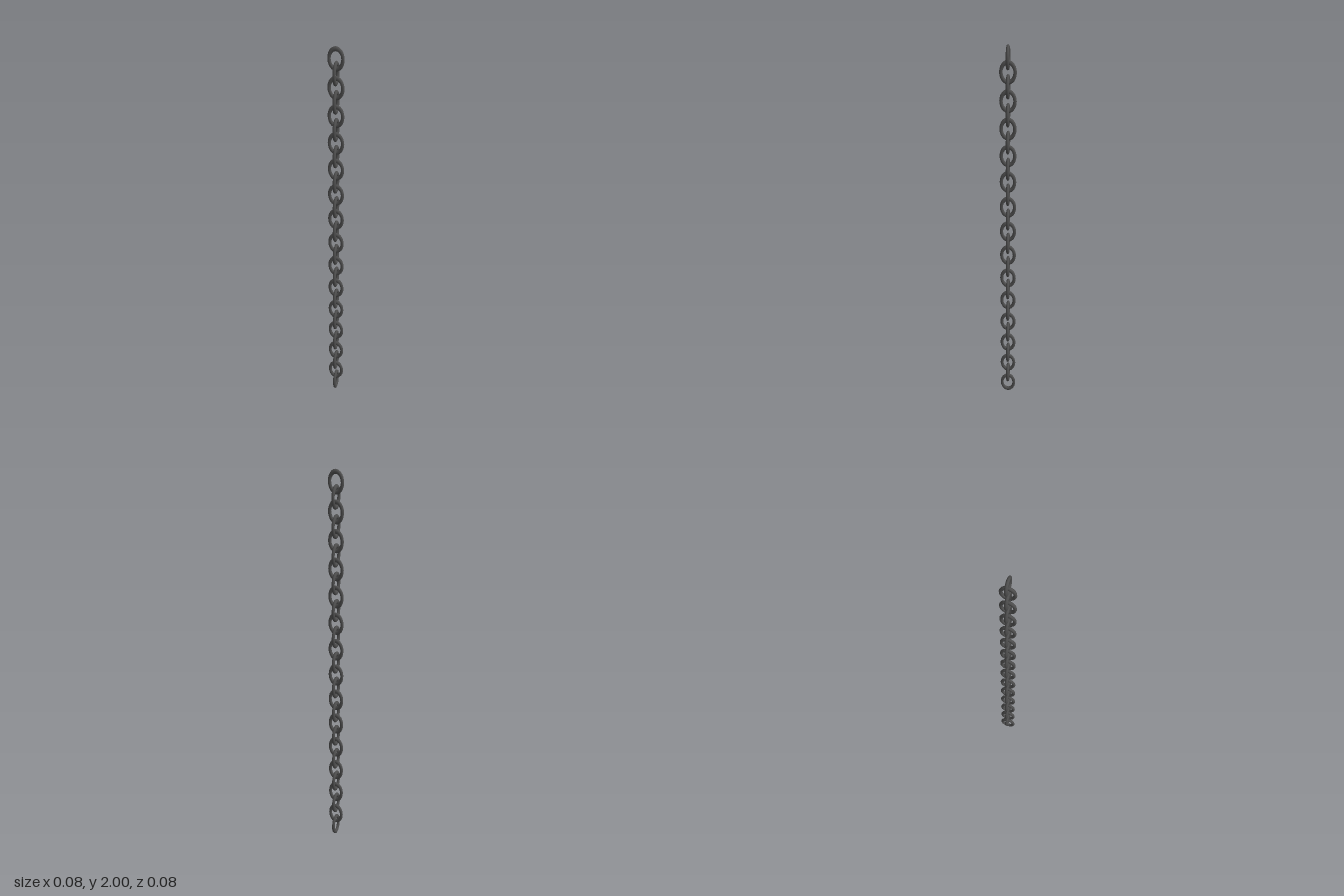
import * as THREE from 'three';

const LINKS = 28;
const HALF_W = 0.0395, HALF_H = 0.059; // outer half size of a link
const WIRE = 0.0078;                   // wire radius
const STEP = (2 - 2 * HALF_H) / (LINKS - 1);

export function createModel() {
  const chain = new THREE.Group();
  chain.name = 'chain';
  const iron = new THREE.MeshStandardMaterial({ color: 0x4e4e4e });
  iron.name = 'darkIron';

  // One oval link: a round wire ring stretched upwards
  const link = new THREE.TorusGeometry(HALF_W - WIRE, WIRE, 8, 24);
  link.scale(1, HALF_H / HALF_W, 1);

  // Links alternate by a quarter turn, the top one facing the front
  for (let i = 0; i < LINKS; i++) {
    const mesh = new THREE.Mesh(link, iron);
    mesh.name = `link${i + 1}`;
    mesh.position.y = 2 - HALF_H - i * STEP;
    mesh.rotation.y = (i % 2) * Math.PI / 2;
    chain.add(mesh);
  }
  return chain;
}
